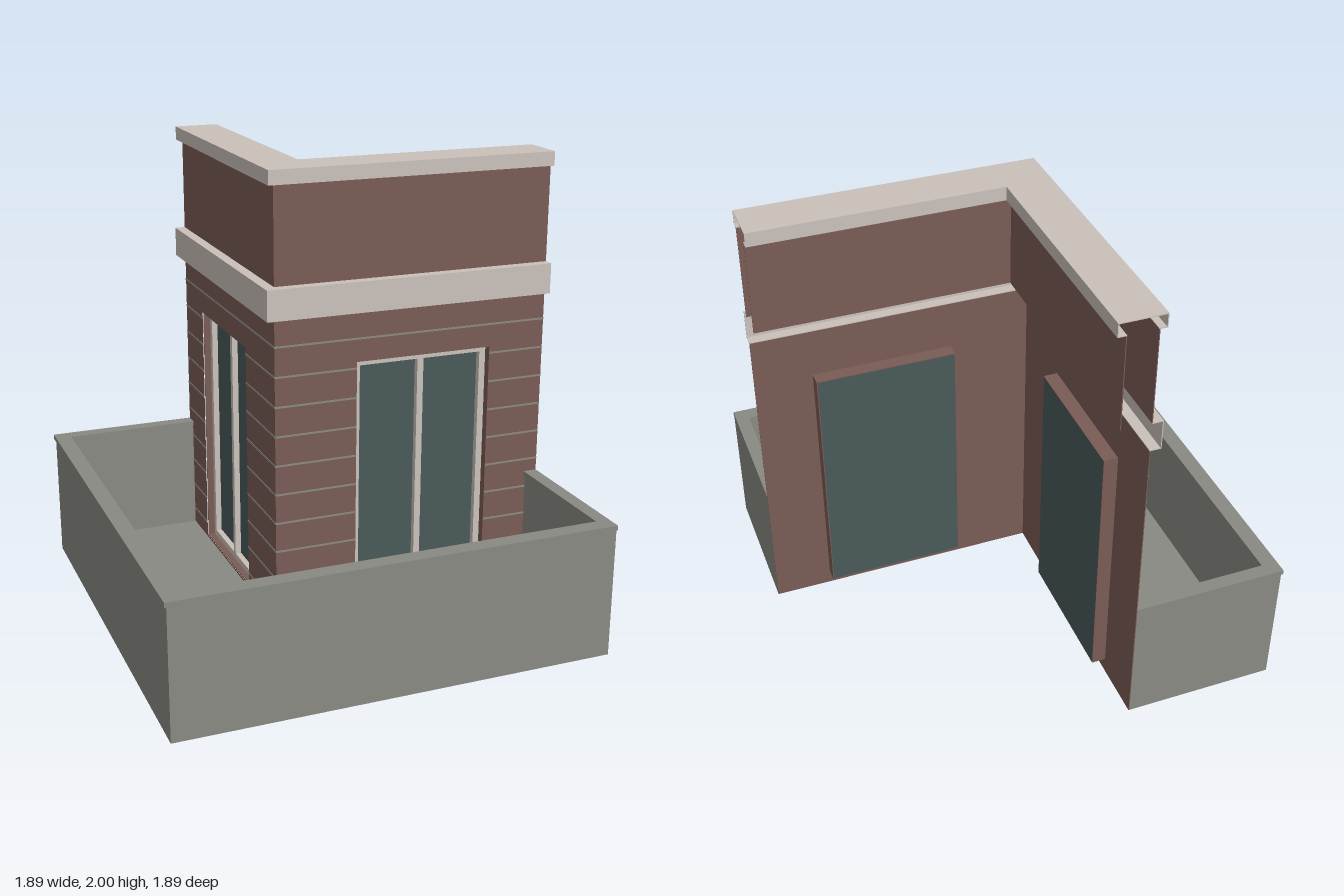
import * as THREE from 'three';

const END = 0.945;   // where both wings are cut off
const WALL = 0.28;   // distance of the outer wall face from the axes
const T = 0.004;     // sheet thickness

export function createModel() {
  const mat = (name, color) => {
    const m = new THREE.MeshStandardMaterial({ color });
    m.name = name;
    return m;
  };
  const brick = mat('brick', 0x7a5c55);
  const trim = mat('pale stone', 0xcbc1ba);
  const concrete = mat('grey concrete', 0x898a82);
  const glass = mat('dark glass', 0x4a5a5a);

  const root = new THREE.Group();
  root.name = 'cornerBuilding';

  const add = (parent, name, geometry, material) => {
    const mesh = new THREE.Mesh(geometry, material);
    mesh.name = name;
    parent.add(mesh);
    return mesh;
  };

  // L-shaped strip that runs along both wings, from inner to outer offset
  const strip = (name, material, inner, outer, y0, y1) => {
    const plan = [
      [-outer, outer], [END, outer], [END, inner],
      [-inner, inner], [-inner, -END], [-outer, -END],
    ].map(([x, z]) => new THREE.Vector2(x, -z));
    const g = new THREE.ExtrudeGeometry(new THREE.Shape(plan), { depth: y1 - y0, bevelEnabled: false });
    g.rotateX(-Math.PI / 2).translate(0, y0, 0);
    return add(root, name, g, material);
  };

  // Terrace with its surrounding parapet and coping
  strip('terraceFloor', concrete, WALL, 0.9, 0, 0.06);
  strip('parapet', concrete, 0.89, 0.94, 0, 0.565);
  strip('parapetCoping', concrete, 0.88, 0.95, 0.565, 0.585);

  // Hollow stone band between the storeys, open towards the inside
  strip('bandFace', trim, 0.325 - T, 0.325, 1.4, 1.53);
  strip('bandTop', trim, WALL - T, 0.325 - T, 1.53 - T, 1.53);
  strip('bandUnderside', trim, WALL - T, 0.325 - T, 1.4, 1.4 + T);

  // Upper wall: outer and inner sheets
  strip('upperWallOuter', brick, WALL - T, WALL, 1.53, 1.94);
  strip('upperWallInner', brick, 0.148, 0.148 + T, 1.53, 1.94);

  // Hollow roof cap with lips and soffits
  strip('capTop', trim, 0.115, 0.31, 2 - T, 2);
  strip('capOuterLip', trim, 0.31 - T, 0.31, 1.94, 2 - T);
  strip('capInnerLip', trim, 0.115, 0.115 + T, 1.94, 2 - T);
  strip('capOuterSoffit', trim, WALL - T, 0.31 - T, 1.94, 1.94 + T);
  strip('capInnerSoffit', trim, 0.115 + T, 0.152, 1.94, 1.94 + T);

  // Window opening along a wing
  const U0 = 0.08, U1 = 0.69, V0 = 0.07, V1 = 1.18;
  const BACK = 0.215, BAR = 0.028;

  // One wing: lower wall, joints, window and parapet end; s mirrors it
  const wing = (name, s) => {
    const group = new THREE.Group();
    group.name = name;
    root.add(group);

    const box = (part, material, u0, u1, y0, y1, d0, d1) => {
      const g = new THREE.BoxGeometry(u1 - u0, y1 - y0, d1 - d0);
      g.translate(s * (u0 + u1) / 2, (y0 + y1) / 2, (d0 + d1) / 2);
      return add(group, part, g, material);
    };
    const rect = (Type, u0, u1, y0, y1) => new Type([
      [u0, y0], [u1, y0], [u1, y1], [u0, y1],
    ].map(([u, y]) => new THREE.Vector2(s * u, y)));

    // Lower wall sheet with the opening cut out
    const face = rect(THREE.Shape, -WALL, END, 0, 1.4);
    face.holes.push(rect(THREE.Path, U0, U1, V0, V1));
    const wall = new THREE.ExtrudeGeometry(face, { depth: T, bevelEnabled: false });
    add(group, 'lowerWall', wall.translate(0, 0, WALL - T), brick);

    // Horizontal joints, interrupted by the window
    for (let i = 0; i < 10; i++) {
      const y = 1.28 - i * 0.1275;
      const spans = y > V1 ? [[-WALL, END]] : [[-WALL, U0], [U1, END]];
      for (const [a, b] of spans) box('wallJoint', concrete, a, b, y - 0.004, y + 0.004, WALL, WALL + 0.002);
    }

    // Brick reveal reaching inwards from the wall
    box('revealSide', brick, U0 - T, U0, V0 - T, V1 + T, BACK, WALL - T);
    box('revealSide', brick, U1, U1 + T, V0 - T, V1 + T, BACK, WALL - T);
    box('revealHead', brick, U0, U1, V1, V1 + T, BACK, WALL - T);
    box('revealSill', brick, U0, U1, V0 - T, V0, BACK, WALL - T);

    // Glazing behind a two-light frame
    box('windowGlass', glass, U0, U1, V0, V1, BACK, BACK + T);
    const mid = (U0 + U1) / 2;
    for (const u of [U0, mid - BAR / 2, U1 - BAR]) {
      box('windowUpright', trim, u, u + BAR, V0, V1, BACK + T, 0.245);
    }
    for (const [a, b] of [[U0 + BAR, mid - BAR / 2], [mid + BAR / 2, U1 - BAR]]) {
      box('windowHead', trim, a, b, V1 - BAR, V1, BACK + T, 0.245);
      box('windowSill', trim, a, b, V0, V0 + BAR, BACK + T, 0.245);
    }

    // Parapet return closing the terrace at the cut end
    box('parapetEnd', concrete, 0.893, END, 0, 0.565, WALL, 0.89);
    box('parapetEndCoping', concrete, 0.885, END, 0.565, 0.585, WALL, 0.88);
    return group;
  };

  wing('frontWing', 1);
  wing('sideWing', -1).rotation.y = -Math.PI / 2;

  return root;
}
